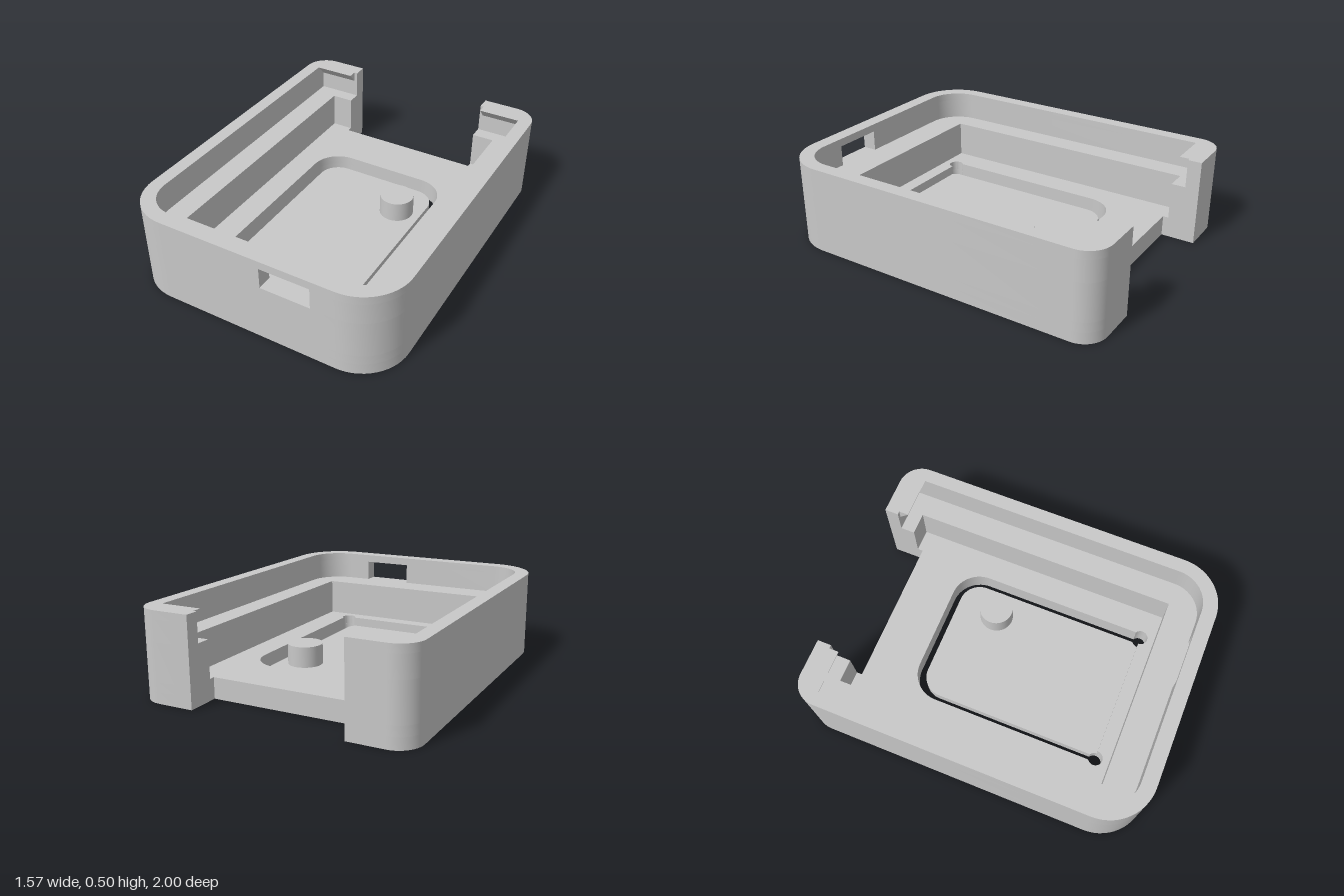
import * as THREE from 'three';
import { toCreasedNormals } from 'three/addons/utils/BufferGeometryUtils.js';

const W = 0.785, FLOOR = 0.12, TONGUE = 0.065, LEDGE = 0.335, TOP = 0.502;
const NOTCH = 0.44, R_BACK = 0.135, R_FRONT = 0.27;

// Closed outline from [x, z, radius] corners; corners with a radius are square and rounded
function outline(corners) {
  const pts = [];
  const n = corners.length;
  const dir = (a, b) => new THREE.Vector2(b[0] - a[0], b[1] - a[1]).normalize();
  corners.forEach((c, i) => {
    const [x, z, r] = c;
    if (!r) { pts.push(new THREE.Vector2(x, -z)); return; }
    const dp = dir(c, corners[(i + n - 1) % n]);
    const dn = dir(c, corners[(i + 1) % n]);
    for (let k = 0; k <= 14; k++) {
      const t = (k / 14) * Math.PI / 2;
      const u = r * (1 - Math.sin(t)), v = r * (1 - Math.cos(t));
      pts.push(new THREE.Vector2(x + dp.x * u + dn.x * v, -(z + dp.y * u + dn.y * v)));
    }
  });
  return pts;
}

// Flat slab between two heights; an optional hole runs opposite to the outer edge
function slab(corners, y0, y1, hole) {
  const shape = new THREE.Shape(outline(corners));
  if (hole) shape.holes.push(new THREE.Path(outline(hole).reverse()));
  const g = new THREE.ExtrudeGeometry(shape, { depth: y1 - y0, bevelEnabled: false });
  g.rotateX(-Math.PI / 2);
  g.translate(0, y0, 0);
  return toCreasedNormals(g, 0.5);
}

// Part of the round relief hole at a slot end, clockwise from the slot's mouth
function relief(cx, t0, t1) {
  const pts = [];
  for (let k = 0; k <= 20; k++) {
    const t = t0 + (t1 - t0) * k / 20;
    pts.push([cx + 0.042 * Math.sin(t), 0.652 - 0.042 * Math.cos(t)]);
  }
  return pts;
}

export function createModel() {
  const model = new THREE.Group();
  const plastic = new THREE.MeshStandardMaterial({ color: 0xc8c8c8 });
  plastic.name = 'light grey plastic';
  const add = (name, geometry) => {
    const m = new THREE.Mesh(geometry, plastic);
    m.name = name;
    model.add(m);
    return m;
  };

  // Floor: the lower layer has a U slot, the upper layer is open above the tongue
  const base = [
    [NOTCH, -1], [W, -1, R_BACK], [W, 1, R_FRONT], [-W, 1, R_FRONT], [-W, -1, R_BACK],
    [-NOTCH, -1], [-NOTCH, -0.805], [NOTCH, -0.805],
  ];
  const a = Math.asin(0.0225 / 0.042), end = 2 * Math.PI - a, cx = 0.3975;
  const slotOuter = [[-0.42, -0.512, 0.17], [0.42, -0.512, 0.17]];
  const slotInner = [[0.375, -0.466, 0.125], [-0.375, -0.466, 0.125]];
  const slot = [...slotOuter, ...relief(cx, a, end), ...slotInner, ...relief(-cx, a, end)];
  const recess = [...slotOuter, ...relief(cx, a, 1.5 * Math.PI), ...relief(-cx, Math.PI / 2, end)];
  add('floorWithSlot', slab(base, 0, TONGUE, slot));
  add('floorAroundTongue', slab(base, TONGUE, FLOOR, recess));

  // Button post on the flexible tongue
  const post = add('buttonPost', new THREE.CylinderGeometry(0.1, 0.1, 0.12, 48));
  post.position.set(0.228, TONGUE + 0.06, -0.216);

  // Thick lower wall whose top is the inner ledge
  add('ledge', slab([
    [NOTCH, -1], [W, -1, R_BACK], [W, 1, R_FRONT], [-W, 1, R_FRONT], [-W, -1, R_BACK],
    [-NOTCH, -1], [-NOTCH, -0.837], [-0.57, -0.837], [-0.57, 0.735],
    [0.57, 0.735], [0.57, -0.837], [NOTCH, -0.837],
  ], FLOOR, LEDGE));

  // Thin upper wall in two halves, leaving the port window in the front
  const half = (s, x) => [
    [s * NOTCH, -1], [s * W, -1, R_BACK], [s * W, 1, R_FRONT], [x, 1], [x, 0.915],
    [s * 0.705, 0.915, 0.19], [s * 0.705, -0.92], [s * NOTCH, -0.92],
  ];
  for (const [side, s, x] of [['left', 1, 0.38], ['right', -1, 0.092]]) {
    add(side + 'WallBesideWindow', slab(half(s, x), LEDGE, 0.456));
    add(side + 'WallRim', slab(half(s, 0.235), 0.456, TOP));

    // Wedge shaped snap lip on the back wall
    const wedge = new THREE.Shape([
      new THREE.Vector2(-0.92, TOP), new THREE.Vector2(-0.92, 0.44), new THREE.Vector2(-0.863, TOP),
    ]);
    const g = new THREE.ExtrudeGeometry(wedge, { depth: 0.245, bevelEnabled: false });
    g.rotateY(-Math.PI / 2);
    add(side + 'SnapLip', g).position.x = s > 0 ? 0.705 : -0.46;
  }
  return model;
}
